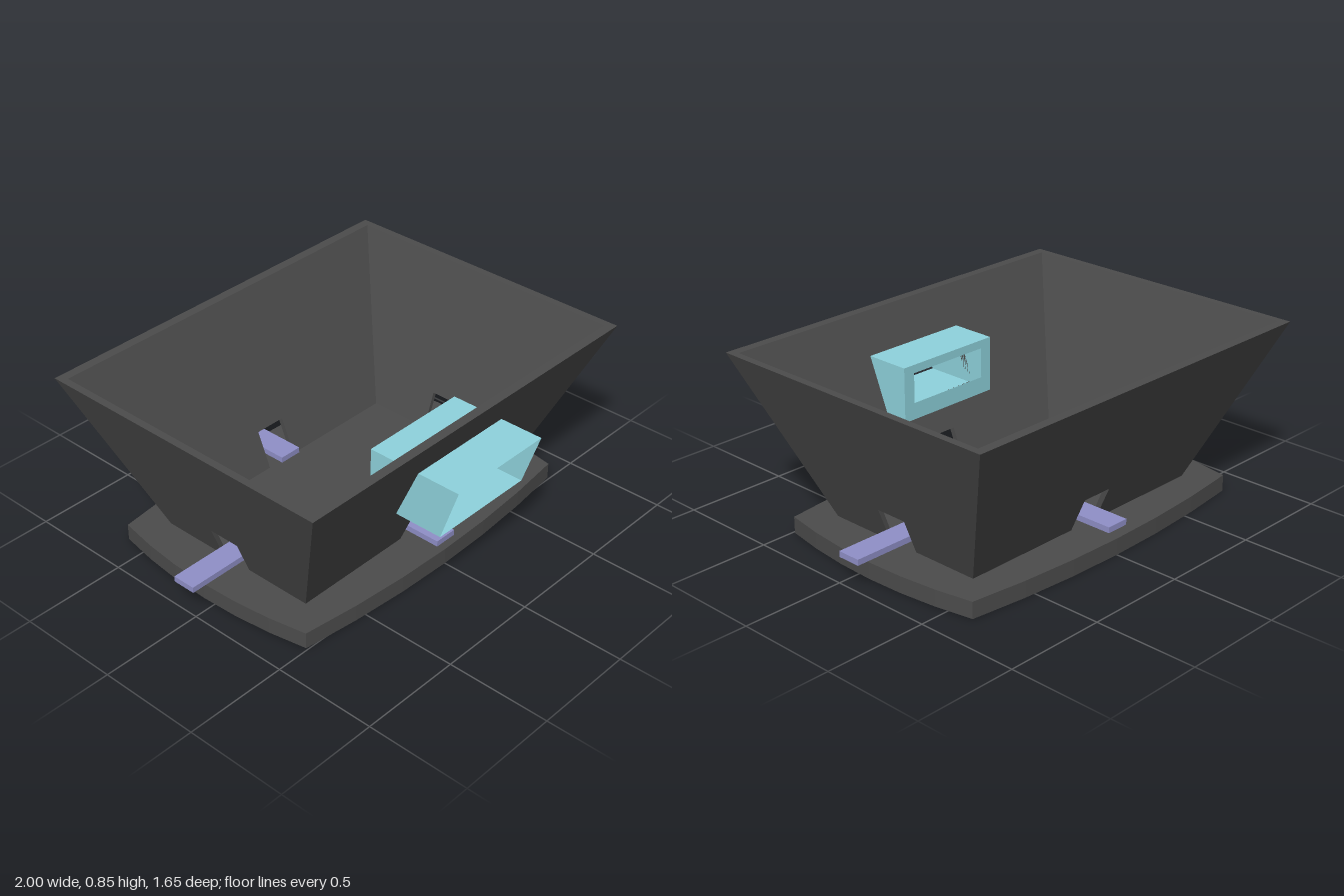
import * as THREE from 'three';

const CZ = -0.065;            // centre of the body along z
const Y0 = 0.08, Y1 = 0.85;   // bottom and rim of the tub

const charcoal = new THREE.MeshStandardMaterial({ color: 0x4c4c4c });
const lilac = new THREE.MeshStandardMaterial({ color: 0x9090c8 });
const teal = new THREE.MeshStandardMaterial({ color: 0x8fd3dd, side: THREE.DoubleSide });

// chute window opening
const WIN = { x: 0.275, y0: 0.4, y1: 0.665 };

function rectPath(PathType, x, y0, y1) {
  return new PathType().moveTo(-x, y0).lineTo(-x, y1).lineTo(x, y1).lineTo(x, y0).closePath();
}

// base plate: rectangle with gently bowed edges
function createBase() {
  const x = 0.83, z = 0.555, bow = 0.12;
  const s = new THREE.Shape();
  s.moveTo(-x, -z);
  s.quadraticCurveTo(0, -z - bow, x, -z);
  s.quadraticCurveTo(x + bow, 0, x, z);
  s.quadraticCurveTo(0, z + bow, -x, z);
  s.quadraticCurveTo(-x - bow, 0, -x, -z);
  const g = new THREE.ExtrudeGeometry(s, { depth: Y0, bevelEnabled: false, curveSegments: 6 });
  g.rotateX(-Math.PI / 2).translate(0, 0, CZ);
  const mesh = new THREE.Mesh(g, charcoal);
  mesh.name = 'basePlate';
  return mesh;
}

// sloping wall with a doorway; pairs are [bottom, top] half-sizes
function wallGeometry(outerW, outerD, innerW, innerD, hasWindow) {
  const door = 0.08, doorTop = 0.25;
  const s = new THREE.Shape();
  s.moveTo(-outerW[0], Y0).lineTo(-door, Y0).lineTo(-door, doorTop).lineTo(door, doorTop);
  s.lineTo(door, Y0).lineTo(outerW[0], Y0).lineTo(outerW[1], Y1).lineTo(-outerW[1], Y1);
  s.closePath();
  if (hasWindow) s.holes.push(rectPath(THREE.Path, WIN.x, WIN.y0, WIN.y1));
  const g = new THREE.ExtrudeGeometry(s, { depth: 1, bevelEnabled: false });
  const p = g.attributes.position;
  for (let i = 0; i < p.count; i++) {
    const t = (p.getY(i) - Y0) / (Y1 - Y0);
    const outside = p.getZ(i) > 0.5;
    const [d0, d1] = outside ? outerD : innerD;
    p.setZ(i, d0 + (d1 - d0) * t);
    const x = p.getX(i);
    if (!outside && Math.abs(x) > 0.35) {   // corners meet in a mitre
      p.setX(i, Math.sign(x) * (innerW[0] + (innerW[1] - innerW[0]) * t));
    }
  }
  g.computeVertexNormals();
  return g;
}

function createTub() {
  const tub = new THREE.Group();
  tub.name = 'tub';
  const outX = [0.69, 0.99], outZ = [0.42, 0.76];
  const inX = [0.67, 0.955], inZ = [0.395, 0.715];
  ['frontWall', 'leftWall', 'backWall', 'rightWall'].forEach((name, i) => {
    const g = i % 2 === 0
      ? wallGeometry(outX, outZ, inX, inZ, i === 0)
      : wallGeometry(outZ, outX, inZ, inX, false);
    const wall = new THREE.Mesh(g, charcoal);
    wall.name = name;
    wall.rotation.y = i * Math.PI / 2;
    tub.add(wall);
  });
  tub.position.z = CZ;
  return tub;
}

// flat tongues passing through the four doorways
function createTongues() {
  const group = new THREE.Group();
  group.name = 'tongues';
  const spans = [[0.335, 0.615], [0.61, 1.0], [0.335, 0.615], [0.61, 1.0]];
  ['frontTongue', 'leftTongue', 'backTongue', 'rightTongue'].forEach((name, i) => {
    const [a, b] = spans[i];
    const g = new THREE.BoxGeometry(0.115, 0.028, b - a);
    g.translate(0, 0.14, (a + b) / 2);
    const tongue = new THREE.Mesh(g, lilac);
    tongue.name = name;
    tongue.rotation.y = i * Math.PI / 2;
    group.add(tongue);
  });
  group.position.z = CZ;
  return group;
}

// thin chute, open at its slanted front, with a framed opening at the back
function createChute() {
  const group = new THREE.Group();
  group.name = 'chute';
  const back = 0.35;
  const { x, y0, y1 } = WIN;
  const corners = [[-x, y0, 0.74], [x, y0, 0.74], [x, y1, 0.83], [-x, y1, 0.83]];
  const pos = [];
  for (let i = 0; i < 4; i++) {
    const a = corners[i], b = corners[(i + 1) % 4];
    const ab = [a[0], a[1], back], bb = [b[0], b[1], back];
    pos.push(...a, ...ab, ...bb, ...a, ...bb, ...b);
  }
  const sides = new THREE.BufferGeometry();
  sides.setAttribute('position', new THREE.Float32BufferAttribute(pos, 3));
  sides.computeVertexNormals();
  const sleeve = new THREE.Mesh(sides, teal);
  sleeve.name = 'chuteSleeve';

  const ring = rectPath(THREE.Shape, x, y0, y1);
  ring.holes.push(rectPath(THREE.Path, 0.215, 0.48, 0.625));
  const frame = new THREE.Mesh(new THREE.ShapeGeometry(ring), teal);
  frame.name = 'chuteBackFrame';
  frame.position.z = back;
  group.add(sleeve, frame);
  return group;
}

export function createModel() {
  const model = new THREE.Group();
  model.name = 'feeder';
  model.add(createBase(), createTub(), createTongues(), createChute());
  return model;
}
